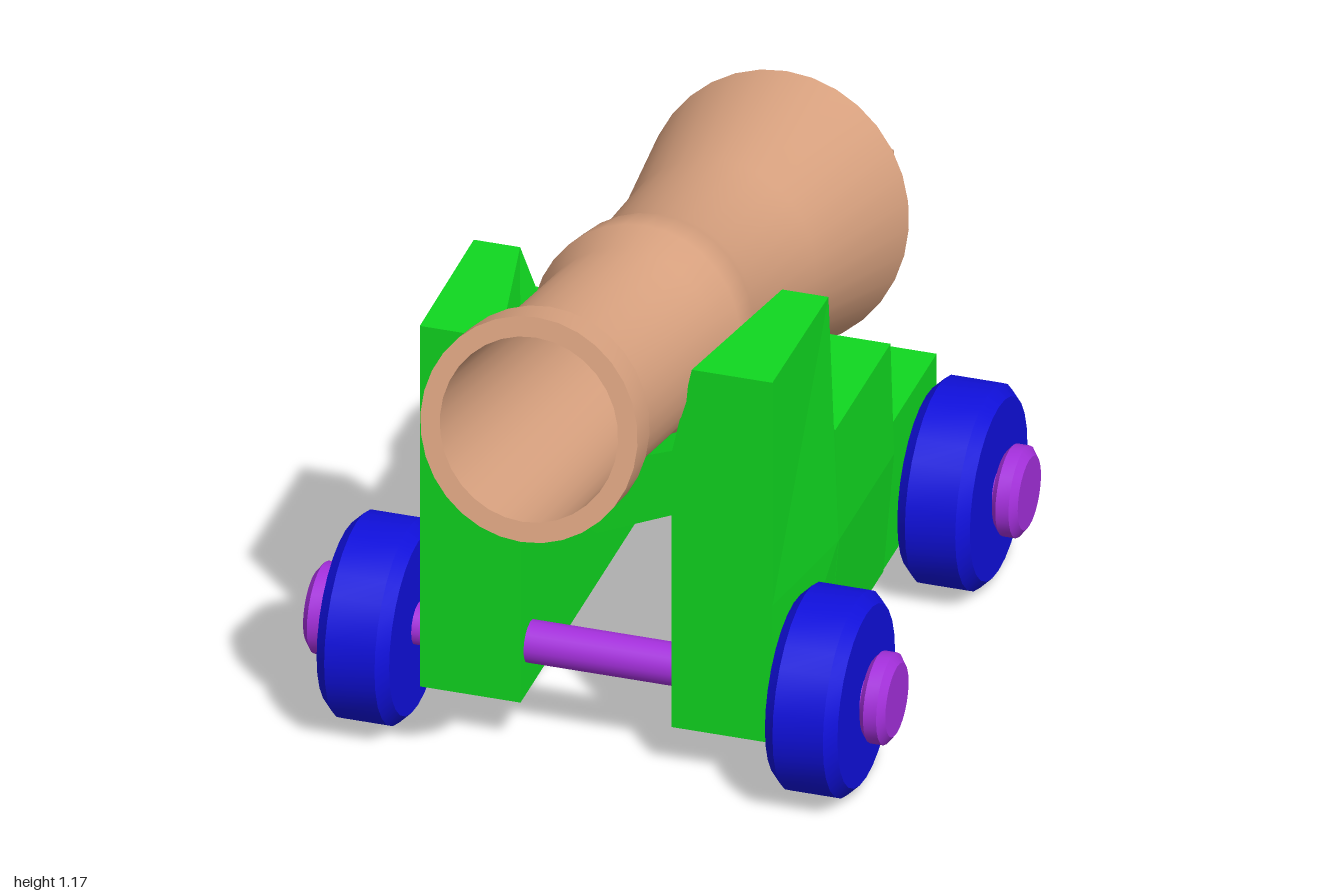
import * as THREE from 'three';
import { toCreasedNormals } from 'three/addons/utils/BufferGeometryUtils.js';

const mat = (color) => new THREE.MeshStandardMaterial({ color });

// Turned part: profile of [radius, height] about the y axis
function turned(profile, segments, crease = 0.45) {
  const pts = profile.map(([r, h]) => new THREE.Vector2(r, h));
  return toCreasedNormals(new THREE.LatheGeometry(pts, segments), crease);
}

// Solid between two outlines (clockwise seen from the front) at zFront and zBack
function loft(front, back, zFront, zBack) {
  const A = front.map(([x, y]) => new THREE.Vector3(x, y, zFront));
  const B = back.map(([x, y]) => new THREE.Vector3(x, y, zBack));
  const pos = [];
  const tri = (...vs) => vs.forEach((v) => pos.push(v.x, v.y, v.z));
  A.forEach((a, i) => {
    const j = (i + 1) % A.length;
    tri(a, A[j], B[i]);
    tri(A[j], B[j], B[i]);
  });
  for (const [ring, sign] of [[A, 1], [B, -1]]) {
    const flat = ring.map((v) => new THREE.Vector2(v.x, v.y));
    for (const [a, b, c] of THREE.ShapeUtils.triangulateShape(flat, [])) {
      const area = THREE.ShapeUtils.area([flat[a], flat[b], flat[c]]);
      if (area * sign > 0) tri(ring[a], ring[b], ring[c]);
      else tri(ring[a], ring[c], ring[b]);
    }
  }
  const g = new THREE.BufferGeometry();
  g.setAttribute('position', new THREE.Float32BufferAttribute(pos, 3));
  g.computeVertexNormals();
  return g;
}

const mirrored = (outline) => outline.map(([x, y]) => [-x, y]).reverse();
const block = (x0, x1, y0, y1) => [[x1, y1], [x1, y0], [x0, y0], [x0, y1]];

export function createModel() {
  const model = new THREE.Group();
  model.name = 'cannon';
  const bronze = mat(0xdda582), green = mat(0x10d820), blue = mat(0x1010dd), purple = mat(0xa530dd);

  const add = (parent, name, geometry, material, x = 0, y = 0, z = 0) => {
    const mesh = new THREE.Mesh(geometry, material);
    mesh.name = name;
    mesh.position.set(x, y, z);
    parent.add(mesh);
    return mesh;
  };

  // Barrel: outside from breech to muzzle, then back down the bore
  const barrel = add(model, 'barrel', turned([
    [0, -1.82], [0.04, -1.818], [0.161, -1.781], [0.272, -1.572], [0.208, -1.175],
    [0.191, -0.84], [0.211, -0.774], [0.215, -0.681], [0.189, -0.604], [0.19, -0.131],
    [0.221, -0.083], [0.223, 0], [0.183, 0], [0.16, -1.13], [0, -1.13],
  ], 32), bronze, 0, 0.953, 0.95);
  barrel.rotation.x = THREE.MathUtils.degToRad(90 - 13.3);
  barrel.scale.x = 0.965;

  // Breech knob with its cross handle
  const knob = add(model, 'breechKnob', turned([
    [0, -0.04], [0.042, -0.04], [0.034, 0.03], [0.019, 0.13], [0.021, 0.155], [0.012, 0.165], [0.009, 0.195], [0, 0.198],
  ], 12), bronze, 0, 0.538, -0.803);
  knob.rotation.x = -Math.PI / 2 - 0.085;
  const handle = add(model, 'crossHandle', turned([
    [0, -0.112], [0.012, -0.112], [0.014, -0.09], [0.01, -0.07], [0.019, -0.02],
    [0.019, 0.02], [0.01, 0.07], [0.014, 0.09], [0.012, 0.112], [0, 0.112],
  ], 10), bronze, 0, 0.524, -0.945);
  handle.rotation.z = Math.PI / 2;

  // Stepped side cheeks
  const carriage = new THREE.Group();
  carriage.name = 'carriage';
  model.add(carriage);
  const mid = [[0.366, 0.6], [0.373, 0.36], [0.352, 0.1], [0.15, 0.1], [0.15, 0.45], [0.19, 0.6]];
  const rear = block(0.15, 0.35, 0.1, 0.39);
  const tail = block(0.15, 0.35, 0.1, 0.215);
  const steps = [
    ['frontCheek',
      [[0.35, 0.888], [0.35, 0.4], [0.35, 0.1], [0.15, 0.1], [0.15, 0.7], [0.19, 0.888]],
      [[0.352, 0.888], [0.372, 0.36], [0.352, 0.1], [0.15, 0.1], [0.15, 0.6], [0.26, 0.888]],
      0.535, 0.195],
    ['middleCheek', mid, mid, 0.195, -0.145],
    ['rearCheek', rear, rear, -0.145, -0.48],
    ['tailStep', tail, tail, -0.48, -0.6],
  ];
  for (const [name, front, back, z0, z1] of steps) {
    add(carriage, name + 'Left', loft(front, back, z0, z1), green);
    add(carriage, name + 'Right', loft(mirrored(front), mirrored(back), z0, z1), green);
  }

  // Notched cross beams under the barrel: heights of [side, middle] for top and bottom
  const beam = (topSide, topMid, lowSide, lowMid) => [
    [-0.16, topSide], [0, topMid], [0.16, topSide], [0.16, lowSide], [0, lowMid], [-0.16, lowSide],
  ];
  add(carriage, 'frontBeam', loft(beam(0.705, 0.645, 0.565, 0.495), beam(0.625, 0.565, 0.5, 0.445), 0.53, 0.2), green);
  add(carriage, 'rearBeam', loft(beam(0.395, 0.345, 0.25, 0.33), beam(0.36, 0.32, 0.24, 0.285), -0.145, -0.475), green);

  // Axles, wheels and hub caps
  const wheelGeo = turned([[0, -0.072], [0.178, -0.072], [0.2, -0.05], [0.2, 0.05], [0.178, 0.072], [0, 0.072]], 28);
  const capGeo = turned([[0, -0.025], [0.076, -0.025], [0.089, -0.014], [0.089, 0.012], [0.072, 0.025], [0, 0.025]], 24);
  const axleGeo = turned([[0, -0.56], [0.042, -0.56], [0.042, 0.56], [0, 0.56]], 16);
  for (const [end, z] of [['front', 0.475], ['rear', -0.343]]) {
    add(model, end + 'Axle', axleGeo, purple, 0, 0.202, z).rotation.z = -Math.PI / 2;
    for (const [side, s] of [['Left', 1], ['Right', -1]]) {
      add(model, end + 'Wheel' + side, wheelGeo, blue, s * 0.445, 0.2, z).rotation.z = -s * Math.PI / 2;
      add(model, end + 'HubCap' + side, capGeo, purple, s * 0.553, 0.202, z).rotation.z = -s * Math.PI / 2;
    }
  }
  return model;
}
